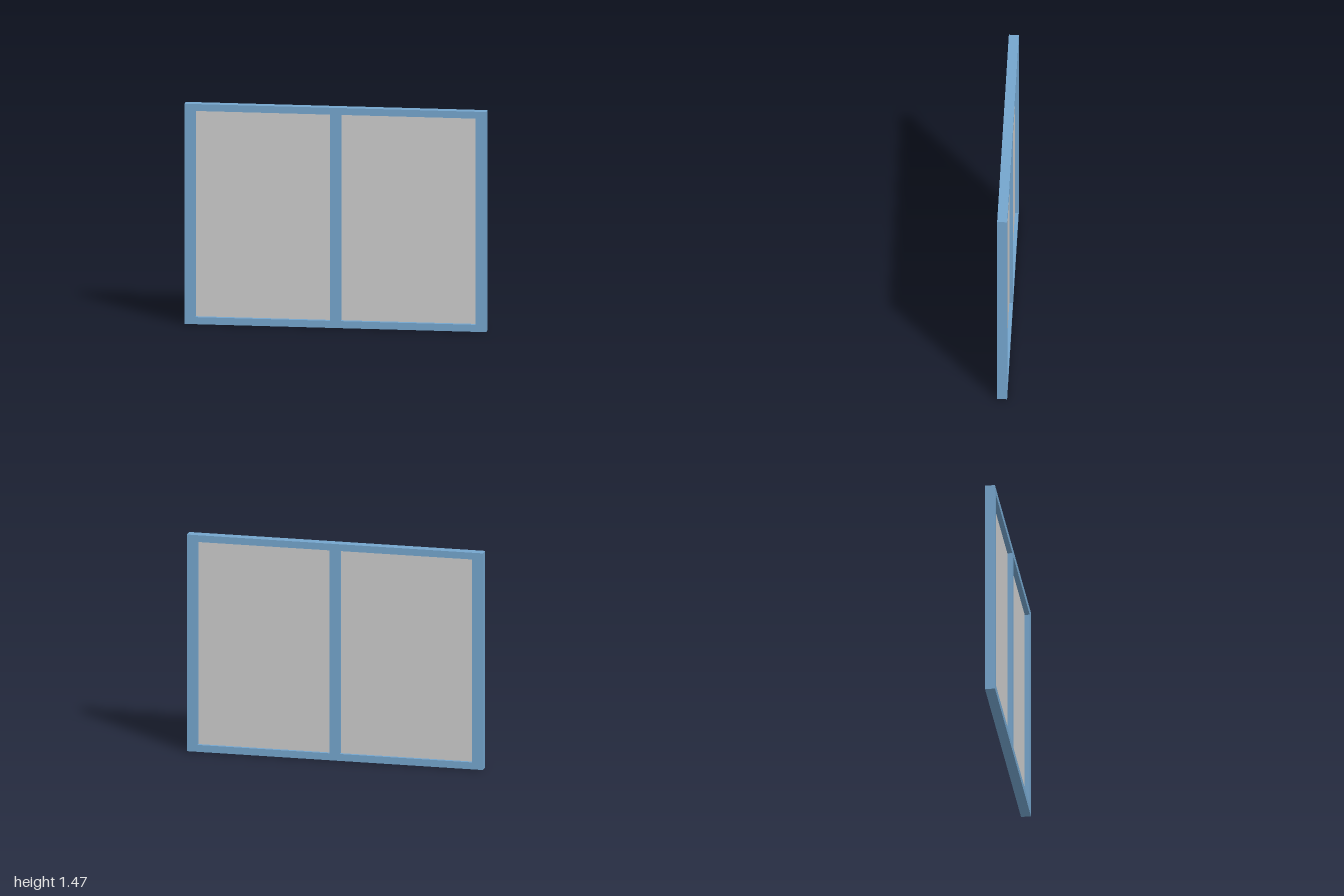
import * as THREE from 'three';

export function createModel() {
  const group = new THREE.Group();
  const frameMat = new THREE.MeshStandardMaterial({ color: 0x74a5cd });
  const paneMat = new THREE.MeshStandardMaterial({ color: 0xcccccc });
  const height = 1.474, depth = 0.066;
  const inner = 0.035, outer = 0.928, bottom = 0.047, top = 1.428;

  // Frame with a central mullion: one outline with two openings
  const outline = new THREE.Shape([
    new THREE.Vector2(-1, 0), new THREE.Vector2(1, 0),
    new THREE.Vector2(1, height), new THREE.Vector2(-1, height),
  ]);
  for (const side of [-1, 1]) {
    outline.holes.push(new THREE.Path([
      new THREE.Vector2(side * inner, bottom), new THREE.Vector2(side * inner, top),
      new THREE.Vector2(side * outer, top), new THREE.Vector2(side * outer, bottom),
    ]));
  }
  const frameGeo = new THREE.ExtrudeGeometry(outline, { depth, bevelEnabled: false });
  frameGeo.translate(0, 0, -depth / 2);
  const frame = new THREE.Mesh(frameGeo, frameMat);
  frame.name = 'windowFrame';
  group.add(frame);

  // Thin panes recessed from both faces of the frame
  for (const side of [-1, 1]) {
    const pane = new THREE.Mesh(new THREE.BoxGeometry(outer - inner, top - bottom, 0.01), paneMat);
    pane.position.set(side * (inner + outer) / 2, (bottom + top) / 2, -0.005);
    pane.name = side > 0 ? 'leftPane' : 'rightPane';
    group.add(pane);
  }
  return group;
}
